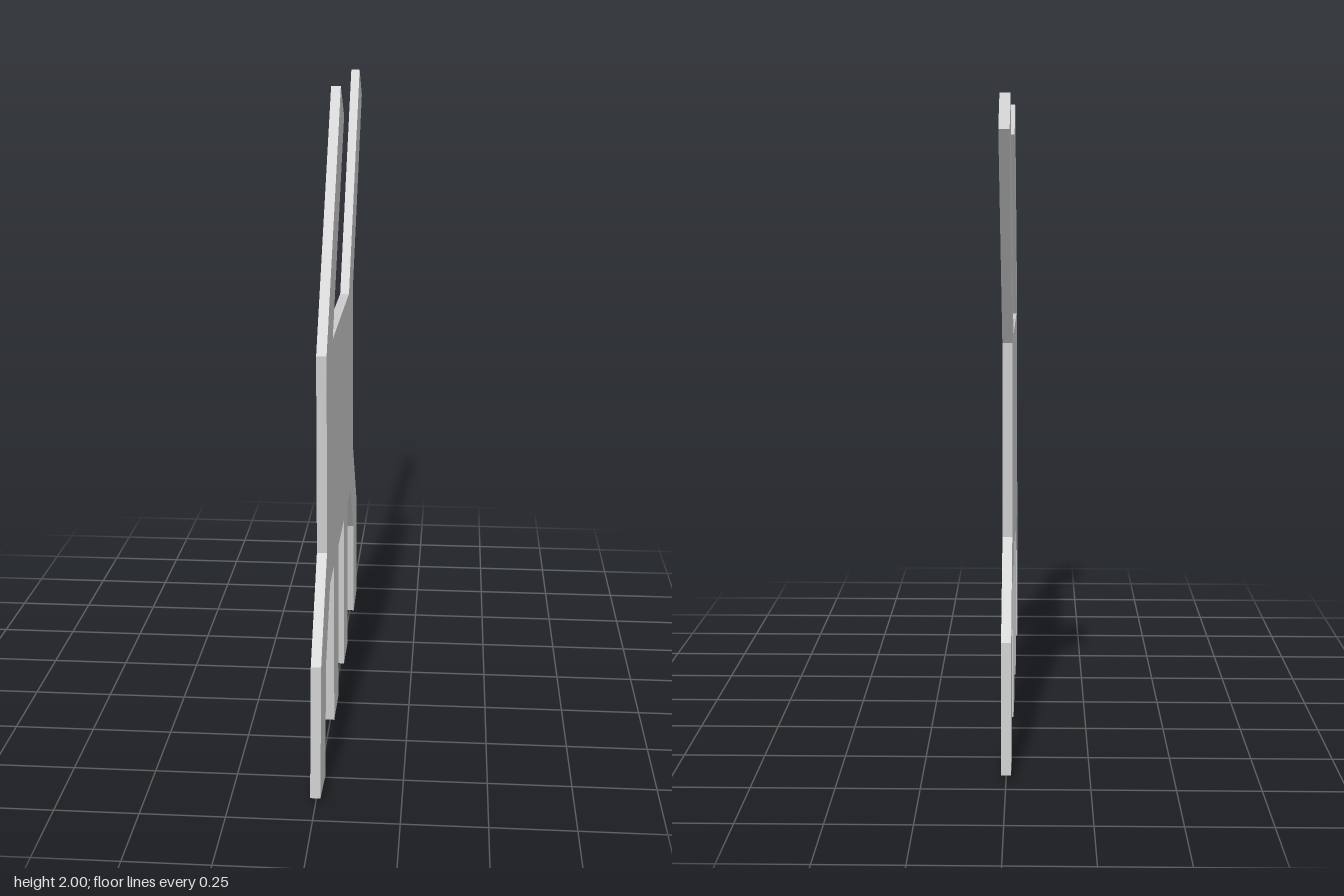
import * as THREE from 'three';

const THICKNESS = 0.03;
const MID = 0.108; // z of the body's centre line

export function createModel() {
  const group = new THREE.Group();
  const material = new THREE.MeshStandardMaterial({ color: 0xcccccc, flatShading: true });
  const mirror = (points) => points.map(([z, y]) => [2 * MID - z, y]).reverse();

  // Bent outer leg, from the body's side round to its underside
  const outerLeg = [
    [0.667, 0.685], [0.873, 0.415], [0.911, 0.02],
    [0.743, 0], [0.71, 0.35], [0.558, 0.545],
  ];
  // Straight inner leg
  const innerLeg = [[0.405, 0.545], [0.405, 0.015], [0.237, 0.015], [0.237, 0.545]];
  // Slanted bars on top, both leaning to the back
  const rearBar = [[-0.45, 1.28], [-0.908, 1.9], [-0.772, 2], [-0.24, 1.28]];
  const frontBar = [[0.45, 1.28], [-0.008, 1.9], [0.13, 2], [0.667, 1.28]];

  // One continuous outline; the body lies between the limbs
  const outline = [
    ...outerLeg, ...innerLeg, ...mirror(innerLeg), ...mirror(outerLeg),
    ...rearBar, ...frontBar,
  ];
  const shape = new THREE.Shape(outline.map(([z, y]) => new THREE.Vector2(z, y)));
  const geometry = new THREE.ExtrudeGeometry(shape, { depth: THICKNESS, bevelEnabled: false });
  geometry.translate(0, 0, -THICKNESS / 2);
  geometry.rotateY(-Math.PI / 2); // profile runs along z

  const plate = new THREE.Mesh(geometry, material);
  plate.name = 'bodyPlateWithLegsAndBars';
  group.add(plate);
  return group;
}
